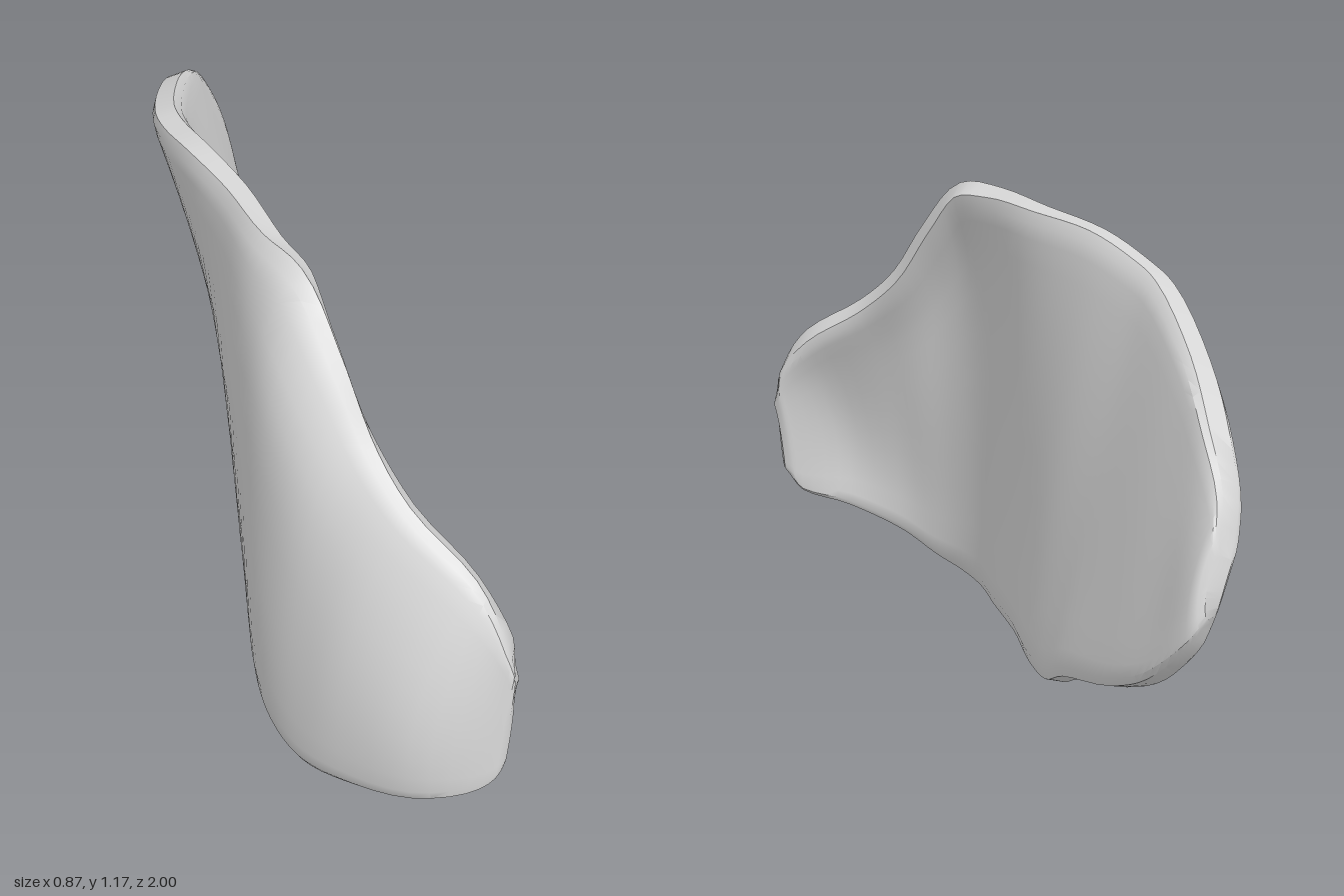
import * as THREE from 'three';
import { mergeVertices, toCreasedNormals } from 'three/addons/utils/BufferGeometryUtils.js';

// Stations from the curled front to the back tip: z, bottom y, top y, x at bottom, middle, top
const STATIONS = [
  [0.98, 0.22, 0.43, -0.18, -0.17, -0.16],
  [0.955, 0.15, 0.53, -0.225, -0.205, -0.165],
  [0.86, 0.1, 0.645, -0.32, -0.315, -0.18],
  [0.7, 0.052, 0.755, -0.385, -0.367, -0.23],
  [0.57, 0.012, 0.865, -0.4, -0.372, -0.24],
  [0.45, 0.007, 1.02, -0.385, -0.362, -0.238],
  [0.33, 0.015, 1.145, -0.34, -0.335, -0.232],
  [0.2, 0.03, 1.165, -0.26, -0.285, -0.228],
  [0, 0.075, 1.172, -0.125, -0.185, -0.183],
  [-0.2, 0.128, 1.17, 0.035, -0.075, -0.153],
  [-0.36, 0.185, 1.145, 0.15, 0.01, -0.115],
  [-0.47, 0.262, 1.125, 0.215, 0.07, -0.07],
  [-0.7, 0.375, 1.05, 0.325, 0.22, 0.09],
  [-0.85, 0.475, 0.972, 0.383, 0.31, 0.215],
  [-0.95, 0.59, 0.88, 0.402, 0.37, 0.3],
  [-0.988, 0.67, 0.79, 0.395, 0.385, 0.36],
];

const rail = (pick) => new THREE.CatmullRomCurve3(STATIONS.map((s) => new THREE.Vector3(...pick(s))));
const bottom = rail((s) => [s[3], s[1], s[0]]);
const middle = rail((s) => [s[4], (s[1] + s[2]) / 2, s[0]]);
const top = rail((s) => [s[5], s[2], s[0]]);

// Middle surface of the plate: u runs front to back, v bottom to top
function surface(u, v) {
  const p = bottom.getPoint(u).multiplyScalar((1 - v) * (1 - 2 * v))
    .addScaledVector(middle.getPoint(u), 4 * v * (1 - v))
    .addScaledVector(top.getPoint(u), v * (2 * v - 1));
  // the front half stays full until just below its inward-curled upper rim
  p.x -= 0.7 * v ** 5 * (1 - v) * Math.exp(-(((p.z - 0.42) / 0.22) ** 2));
  return p;
}

function normalAt(u, v) {
  const e = 0.004;
  const u0 = Math.max(0, u - e), u1 = Math.min(1, u + e);
  const du = surface(u1, v).sub(surface(u0, v));
  const dv = surface(u, v + e).sub(surface(u, v - e));
  return du.cross(dv).normalize();
}

function plateGeometry() {
  const vs = [0, 0.025, 0.07, 0.15, 0.25, 0.35, 0.45, 0.55, 0.65, 0.75, 0.82, 0.88, 0.94, 0.975, 1];
  const rows = 60, n = vs.length, ring = n * 2;
  const pos = [], index = [];
  for (let i = 0; i <= rows; i++) {
    const u = i / rows;
    const fromEnd = Math.min(i, rows - i);
    const endFade = fromEnd === 0 ? 0.55 : fromEnd === 1 ? 0.88 : 1;
    for (let j = 0; j < ring; j++) {
      const inner = j < n;
      const v = vs[inner ? j : ring - 1 - j];
      const edge = Math.min(v, 1 - v);
      // half thickness, heavier towards the top and bevelled at the rims
      const t = (0.034 + 0.006 * v) * endFade * (edge === 0 ? 0.6 : edge < 0.03 ? 0.92 : 1);
      const p = surface(u, v).addScaledVector(normalAt(u, v), inner ? t : -t);
      pos.push(p.x, Math.max(0, p.y), p.z);
    }
  }
  const quad = (a, b, c, d) => index.push(a, b, c, a, c, d);
  for (let i = 0; i < rows; i++) {
    for (let j = 0; j < ring; j++) {
      const k = (j + 1) % ring;
      quad(i * ring + j, (i + 1) * ring + j, (i + 1) * ring + k, i * ring + k);
    }
  }
  // close both ends
  const last = rows * ring;
  for (let j = 0; j < n - 1; j++) {
    const o = ring - 1 - j;
    quad(j, j + 1, o - 1, o);
    quad(last + o, last + o - 1, last + j + 1, last + j);
  }
  const g = new THREE.BufferGeometry();
  g.setAttribute('position', new THREE.Float32BufferAttribute(pos, 3));
  g.setIndex(index);
  return toCreasedNormals(mergeVertices(g), 0.6);
}

export function createModel() {
  const group = new THREE.Group();
  group.name = 'curvedShard';
  const paleGrey = new THREE.MeshStandardMaterial({ color: 0xd8d8d8 });
  paleGrey.name = 'paleGrey';
  const plate = new THREE.Mesh(plateGeometry(), paleGrey);
  plate.name = 'curvedPlate';
  group.add(plate);
  return group;
}
